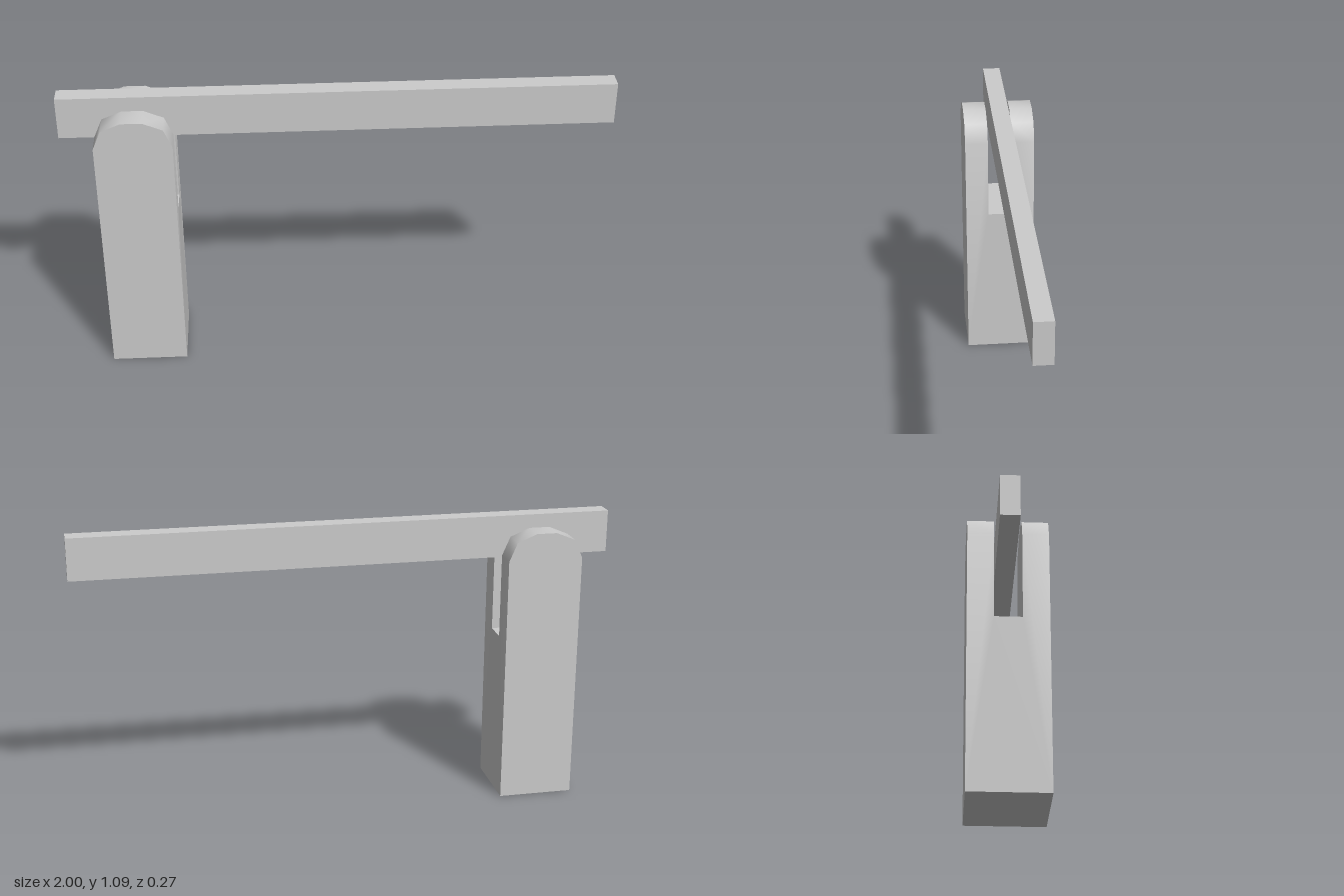
import * as THREE from 'three';
import { toCreasedNormals } from 'three/addons/utils/BufferGeometryUtils.js';

export function createModel() {
  const group = new THREE.Group();
  const material = new THREE.MeshStandardMaterial({ color: 0xcccccc });

  // Forked post: a U section swept along x, its top lowered station by station
  const outer = 0.137, slot = 0.047, slotFloor = 0.624, top = 1.04;
  const stations = [ // [x, top height]
    [-0.14, 0.94], [-0.11, 1.01], [-0.038, top],
    [0.038, top], [0.11, 1.01], [0.14, 0.94],
  ];
  const section = new THREE.Shape([
    [-outer, 0], [outer, 0], [outer, top], [slot, top],
    [slot, slotFloor], [-slot, slotFloor], [-slot, top], [-outer, top],
  ].map(([x, y]) => new THREE.Vector2(x, y)));
  const steps = stations.length - 1;
  const sweep = new THREE.ExtrudeGeometry(section, { depth: steps, steps, bevelEnabled: false });
  const pos = sweep.attributes.position;
  for (let i = 0; i < pos.count; i++) {
    const [x, height] = stations[Math.round(pos.getZ(i))];
    if (pos.getY(i) > slotFloor + 0.01) pos.setY(i, height);
    pos.setZ(i, x);
  }
  sweep.rotateY(Math.PI / 2);
  const post = new THREE.Mesh(toCreasedNormals(sweep, 0.9), material);
  post.name = 'forkedPost';
  post.position.x = -0.73;
  group.add(post);

  // Long arm lying between the two prongs
  const arm = new THREE.Mesh(new THREE.BoxGeometry(2, 0.157, 0.068), material);
  arm.name = 'arm';
  arm.position.y = 1.009;
  group.add(arm);

  return group;
}
